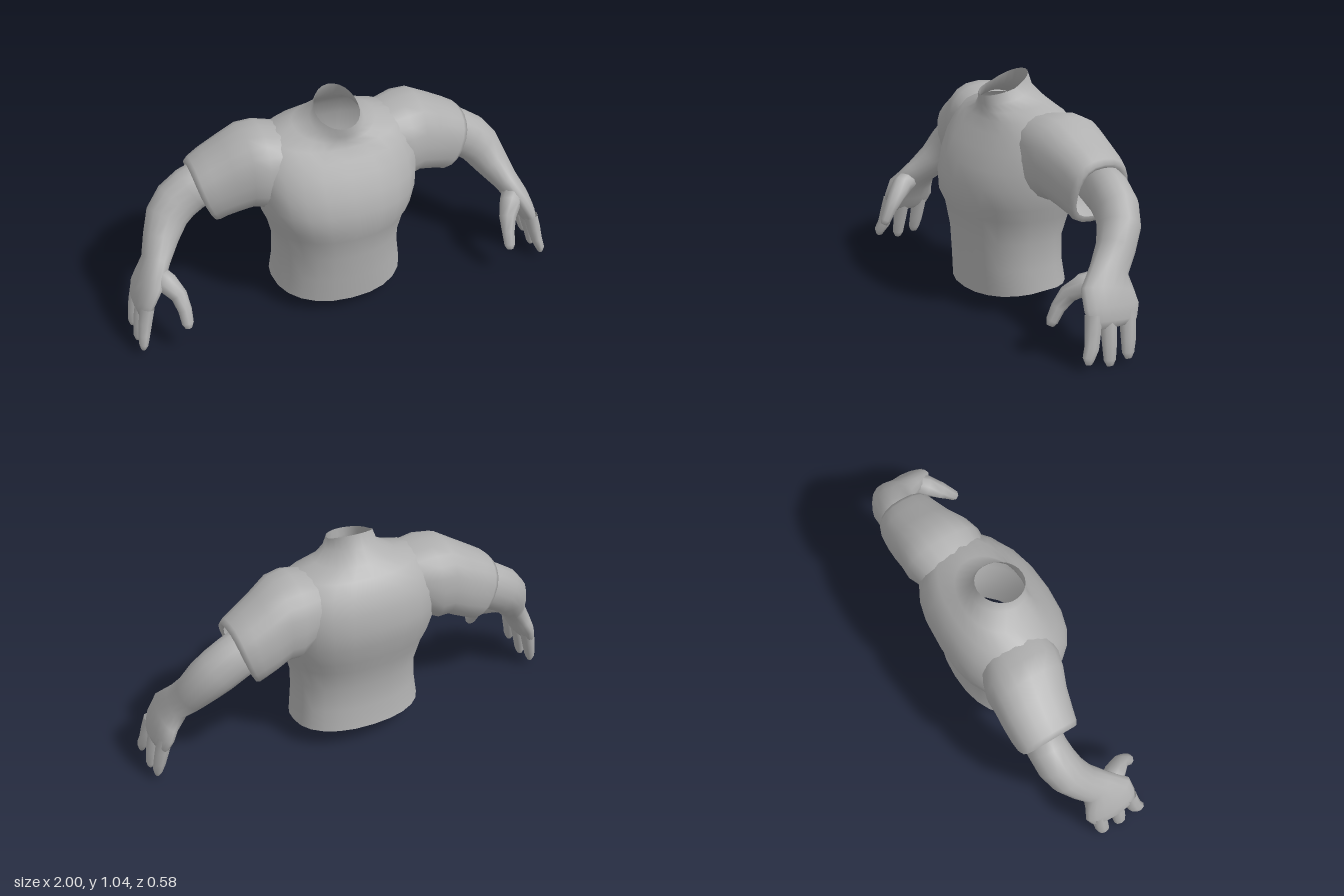
import * as THREE from 'three';

const grey = new THREE.MeshStandardMaterial({ name: 'plain grey', color: 0xb0b0b0, side: THREE.DoubleSide });
const V = (x, y, z) => new THREE.Vector3(x, y, z);

// Skin a list of equal-length closed rings; optionally close the ends.
function loft(name, rings, capStart = false, capEnd = false) {
  const n = rings[0].length, pos = [], idx = [];
  rings.forEach(r => r.forEach(p => pos.push(p.x, p.y, p.z)));
  for (let i = 0; i < rings.length - 1; i++)
    for (let j = 0; j < n; j++) {
      const a = i * n + j, b = i * n + (j + 1) % n;
      idx.push(a, b, a + n, b, b + n, a + n);
    }
  const cap = (i, flip) => {
    const c = V(0, 0, 0);
    rings[i].forEach(p => c.addScaledVector(p, 1 / n));
    const k = pos.push(c.x, c.y, c.z) / 3 - 1;
    for (let j = 0; j < n; j++) {
      const a = i * n + j, b = i * n + (j + 1) % n;
      if (flip) idx.push(k, b, a); else idx.push(k, a, b);
    }
  };
  if (capStart) cap(0, true);
  if (capEnd) cap(rings.length - 1, false);
  const g = new THREE.BufferGeometry();
  g.setAttribute('position', new THREE.Float32BufferAttribute(pos, 3));
  g.setIndex(idx);
  g.computeVertexNormals();
  const mesh = new THREE.Mesh(g, grey);
  mesh.name = name;
  return mesh;
}

// Points of a rounded oval as [cos, sin] pairs; a higher power is boxier.
function oval(n, power) {
  const f = v => Math.sign(v) * Math.abs(v) ** (2 / power);
  return Array.from({ length: n }, (_, i) => {
    const a = i / n * Math.PI * 2;
    return [f(Math.cos(a)), f(Math.sin(a))];
  });
}

// Limb through stations [x, y, z, thickness radius, depth radius].
function limb(name, side, stations, n, capStart = false) {
  const P = stations.map(s => V(s[0], s[1], s[2]));
  const rings = stations.map((s, i) => {
    const t = P[Math.min(i + 1, P.length - 1)].clone().sub(P[Math.max(i - 1, 0)]).normalize();
    const w = V(0, 0, 1).addScaledVector(t, -t.z).normalize();
    const u = w.clone().cross(t);
    return oval(n, 2).map(([c, q]) => {
      const p = P[i].clone().addScaledVector(u, c * s[3]).addScaledVector(w, -q * s[4]);
      p.x *= side;
      return p;
    });
  });
  if (side < 0) rings.forEach(r => r.reverse());
  return loft(name, rings, capStart, true);
}

function torso() {
  // [front y, side y, back y, half width, front z, back z, power]
  const rows = [
    [0.065, 0.1, 0.1, 0.31, 0.23, -0.222, 2.2],
    [0.19, 0.2, 0.2, 0.297, 0.24, -0.205, 2.2],
    [0.32, 0.32, 0.32, 0.295, 0.25, -0.205, 2.2],
    [0.43, 0.43, 0.43, 0.32, 0.265, -0.235, 2.3],
    [0.49, 0.49, 0.49, 0.345, 0.288, -0.255, 2.4],
    [0.58, 0.58, 0.58, 0.365, 0.284, -0.28, 2.5],
    [0.66, 0.66, 0.66, 0.375, 0.258, -0.29, 2.5],
    [0.74, 0.74, 0.75, 0.38, 0.215, -0.28, 2.5],
    [0.8, 0.83, 0.83, 0.36, 0.175, -0.25, 2.4],
    [0.85, 0.89, 0.88, 0.3, 0.145, -0.208, 2.3],
    [0.88, 0.912, 0.925, 0.19, 0.135, -0.16, 2.1],
    [0.91, 0.94, 0.98, 0.12, 0.138, -0.11, 2],
    [0.95, 0.985, 1.045, 0.1, 0.14, -0.088, 2]
  ];
  return loft('shirtBody', rows.map(([yf, ys, yb, w, zf, zb, power], i) => {
    const zm = i > 10 ? 0.025 : -0.02;
    return oval(24, power).map(([c, s]) => V(c * w,
      ys + Math.abs(s) * ((s > 0 ? yf : yb) - ys),
      zm + Math.abs(s) * ((s > 0 ? zf : zb) - zm))).reverse();
  }));
}

function sleeve(side) {
  // [top x, top y, bottom x, bottom y, front z, back z]
  const rows = [
    [0.24, 0.895, 0.29, 0.57, 0.12, -0.225],
    [0.33, 0.915, 0.35, 0.53, 0.125, -0.25],
    [0.41, 0.91, 0.40, 0.535, 0.105, -0.25],
    [0.50, 0.858, 0.455, 0.51, 0.075, -0.25],
    [0.58, 0.81, 0.50, 0.49, 0.055, -0.247],
    [0.635, 0.775, 0.53, 0.475, 0.045, -0.24],
    [0.655, 0.755, 0.545, 0.475, 0.035, -0.228],
    [0.635, 0.735, 0.55, 0.5, 0.01, -0.205]
  ];
  return loft('sleeve', rows.map(([tx, ty, bx, by, zf, zb]) => {
    const r = oval(20, 2.35).map(([c, s]) => V(
      side * ((tx + bx) / 2 + c * (tx - bx) / 2 + 0.015 * (1 - c * c) * (tx > 0.5 ? 1 : 0)),
      (ty + by) / 2 + c * (ty - by) / 2,
      (zf + zb) / 2 + s * (zf - zb) / 2));
    return side > 0 ? r.reverse() : r;
  }));
}

function arm(side) {
  const g = new THREE.Group();
  g.name = side > 0 ? 'leftArm' : 'rightArm';
  g.add(sleeve(side));
  // Forearm flattening into the palm
  g.add(limb('armAndPalm', side, [
    [0.54, 0.66, -0.12, 0.11, 0.09],
    [0.64, 0.615, -0.125, 0.112, 0.092],
    [0.71, 0.57, -0.118, 0.108, 0.095],
    [0.765, 0.515, -0.095, 0.098, 0.092],
    [0.81, 0.44, -0.05, 0.08, 0.085],
    [0.855, 0.37, 0.01, 0.06, 0.085],
    [0.9, 0.3, 0.045, 0.052, 0.125],
    [0.932, 0.235, 0.045, 0.045, 0.132],
    [0.95, 0.185, 0.05, 0.036, 0.118],
    [0.957, 0.16, 0.05, 0.022, 0.1]
  ], 16, true));
  // Three fingers: [base z, middle z, tip z, tip y]
  [[0.14, 0.165, 0.185, 0.028], [0.07, 0.078, 0.082, 0.003], [-0.025, -0.015, -0.008, 0.018]].forEach(([a, b, c, y]) =>
    g.add(limb('finger', side, [
      [0.94, 0.22, a, 0.034, 0.038],
      [0.957, 0.15, (a + b) / 2, 0.032, 0.036],
      [0.97, 0.09, b, 0.027, 0.034],
      [0.98, y + 0.025, c, 0.021, 0.029],
      [0.983, y, c, 0.011, 0.015]
    ], 8)));
  // Thumb with a broad root
  g.add(limb('thumb', side, [
    [0.87, 0.335, 0.07, 0.05, 0.05],
    [0.835, 0.315, 0.125, 0.052, 0.05],
    [0.8, 0.275, 0.175, 0.038, 0.042],
    [0.788, 0.22, 0.215, 0.031, 0.031],
    [0.786, 0.165, 0.243, 0.027, 0.026],
    [0.786, 0.145, 0.253, 0.015, 0.015]
  ], 8, true));
  return g;
}

export function createModel() {
  const model = new THREE.Group();
  model.name = 'upperBody';
  model.add(torso(), arm(1), arm(-1));
  return model;
}
